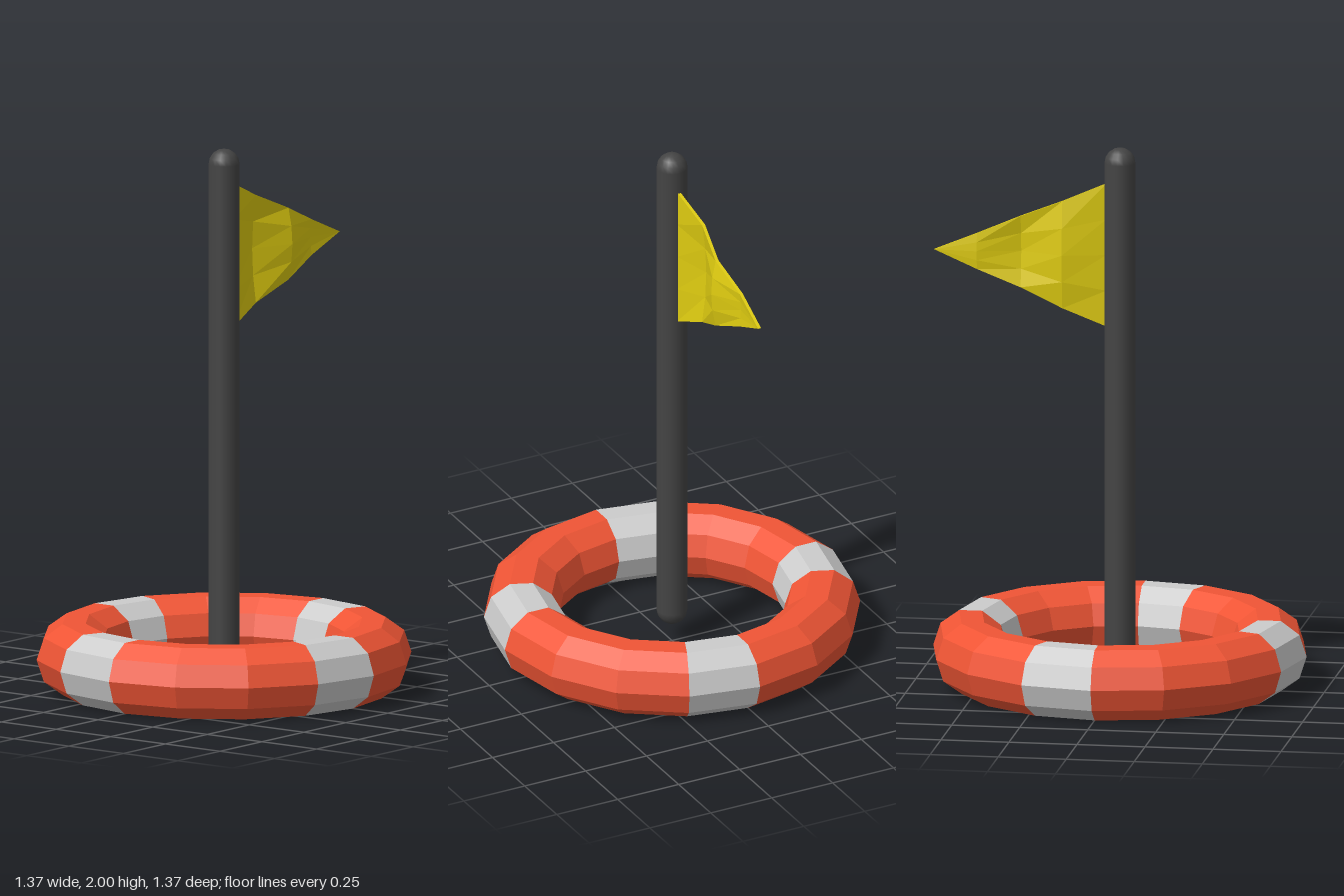
import * as THREE from 'three';

const RING_R = 0.549, TUBE_R = 0.137, RING_Y = 0.13;
const STEP = Math.PI / 8;

const ringMat = new THREE.MeshStandardMaterial({ color: 0xf05535, flatShading: true });
const bandMat = new THREE.MeshStandardMaterial({ color: 0xcccccc, flatShading: true });
const poleMat = new THREE.MeshStandardMaterial({ color: 0x444444 });
const flagMat = new THREE.MeshStandardMaterial({ color: 0xdecb10, flatShading: true });

function part(name, geometry, material) {
  const mesh = new THREE.Mesh(geometry, material);
  mesh.name = name;
  return mesh;
}

// Arc of the faceted ring, lying flat; angles run from +x towards +z
function ringArc(startStep, steps) {
  return new THREE.TorusGeometry(RING_R, TUBE_R, 10, steps, steps * STEP)
    .rotateZ(startStep * STEP)
    .rotateX(Math.PI / 2)
    .translate(0, RING_Y, 0);
}

// Triangular pennant: a box tapered to a point and rippled, most strongly mid-height
function pennant() {
  const edgeWave = [0, -0.02, 0.008, -0.008, 0];
  const midWave = [0, -0.037, 0.026, -0.012, 0];
  const geo = new THREE.BoxGeometry(1, 1, 0.012, 4, 4, 1);
  const p = geo.attributes.position;
  for (let i = 0; i < p.count; i++) {
    const u = p.getX(i) + 0.5, v = p.getY(i) * 2;
    const col = Math.round(u * 4);
    const wave = THREE.MathUtils.lerp(midWave[col], edgeWave[col], v * v);
    p.setXYZ(i, 0.05 + 0.632 * u, 1.6 + 0.265 * v * (1 - u), p.getZ(i) + wave);
  }
  geo.computeVertexNormals();
  return geo;
}

export function createModel() {
  const model = new THREE.Group();
  model.name = 'ringBuoyWithFlag';

  // Ring with four pale bands
  const ring = new THREE.Group();
  ring.name = 'ring';
  for (let q = 0; q < 4; q++) {
    ring.add(part('ringBand', ringArc(q * 4, 1), bandMat));
    ring.add(part('ringSection', ringArc(q * 4 + 1, 3), ringMat));
  }
  model.add(ring);

  // Round-ended pole
  const poleR = 0.057, bottom = 0.075, top = 2;
  const pole = part('pole', new THREE.CapsuleGeometry(poleR, top - bottom - 2 * poleR, 4, 16), poleMat);
  pole.position.y = (top + bottom) / 2;
  model.add(pole);

  model.add(part('flag', pennant(), flagMat));
  return model;
}
